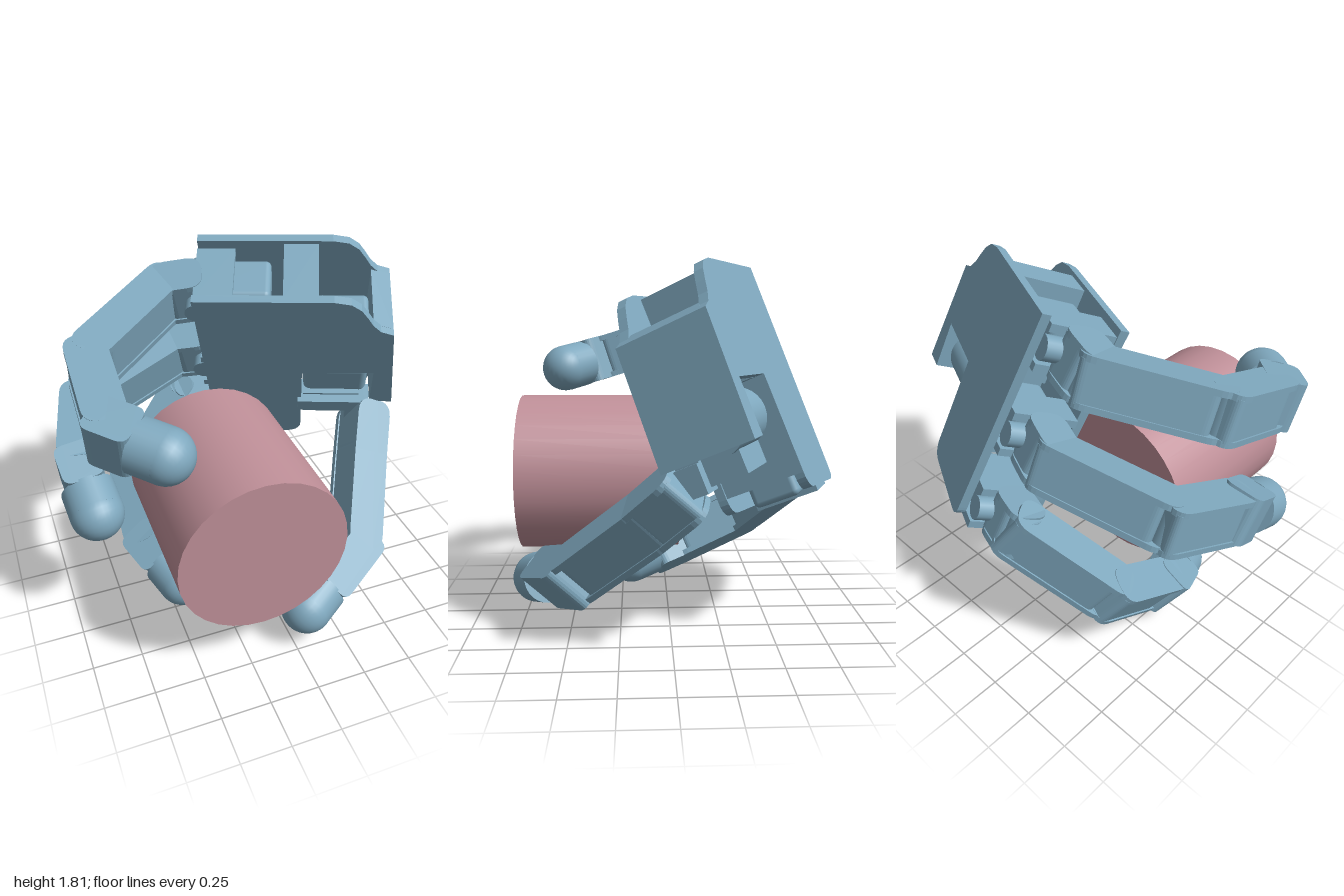
import * as THREE from 'three';
import { RoundedBoxGeometry } from 'three/addons/geometries/RoundedBoxGeometry.js';

const V = (x, y, z) => new THREE.Vector3(x, y, z);
const blue = new THREE.MeshStandardMaterial({ color: 0x7fa8be });
const pink = new THREE.MeshStandardMaterial({ color: 0xc09099 });

function add(parent, name, geometry, material = blue) {
  const mesh = new THREE.Mesh(geometry, material);
  mesh.name = name;
  parent.add(mesh);
  return mesh;
}

// Group whose x axis follows "along" and whose z axis stays close to "axle"
function frame(name, origin, along, axle) {
  const x = along.clone().normalize();
  const y = axle.clone().cross(x).normalize();
  const z = x.clone().cross(y);
  const g = new THREE.Group();
  g.name = name;
  g.quaternion.setFromRotationMatrix(new THREE.Matrix4().makeBasis(x, y, z));
  g.position.copy(origin);
  return g;
}

function extrude(shape, depth, z = -depth / 2) {
  return new THREE.ExtrudeGeometry(shape, { depth, bevelEnabled: false, curveSegments: 6 }).translate(0, 0, z);
}

// Rounded rectangle from x0 to x1, centred on y = 0
function slab(x0, x1, h, r) {
  const s = new THREE.Shape(), k = h / 2;
  s.moveTo(x0 + r, -k).lineTo(x1 - r, -k).quadraticCurveTo(x1, -k, x1, -k + r);
  s.lineTo(x1, k - r).quadraticCurveTo(x1, k, x1 - r, k);
  s.lineTo(x0 + r, k).quadraticCurveTo(x0, k, x0, k - r);
  s.lineTo(x0, -k + r).quadraticCurveTo(x0, -k, x0 + r, -k);
  return s;
}

function box(parent, name, f, u, b, round = 0) {
  const size = [f[1] - f[0], u[1] - u[0], b[1] - b[0]];
  const geo = round ? new RoundedBoxGeometry(...size, 3, round) : new THREE.BoxGeometry(...size);
  geo.translate((f[0] + f[1]) / 2, (u[0] + u[1]) / 2, (b[0] + b[1]) / 2);
  return add(parent, name, geo);
}

// One finger segment: core, two cheek plates and a joint barrel
function link(parent, name, from, to, axle, start = -0.08, over = 0.02) {
  const dir = to.clone().sub(from), L = dir.length();
  const g = frame(name, from, dir, axle);
  add(g, 'core', extrude(slab(start + 0.01, L + over - 0.07, 0.18, 0.04), 0.21));
  for (const side of [-1, 1]) {
    add(g, 'cheek', extrude(slab(start, L + over, 0.195, 0.08), 0.03, side * 0.11 - 0.015));
  }
  add(g, 'jointBarrel', new THREE.CylinderGeometry(0.075, 0.075, 0.22, 20).rotateX(Math.PI / 2)).position.x = L;
  parent.add(g);
}

// Last segment: square housing with a round pad
function tip(parent, from, to, axle) {
  const dir = to.clone().sub(from), L = dir.length();
  const g = frame('fingertip', from, dir, axle);
  add(g, 'housing', extrude(slab(-0.08, Math.max(0.12, L - 0.13), 0.2, 0.05), 0.25));
  const h = 0.14;
  add(g, 'padBarrel', new THREE.CylinderGeometry(0.13, 0.13, h, 28).rotateZ(Math.PI / 2)).position.x = L - h / 2;
  add(g, 'pad', new THREE.SphereGeometry(0.13, 28, 18)).position.x = L;
  parent.add(g);
}

function palmOutline() {
  const s = new THREE.Shape();
  s.moveTo(0.97, 0.235).lineTo(0.3, 0.235);
  s.bezierCurveTo(0.1, 0.235, 0.16, 0.02, 0, 0);
  s.lineTo(-0.05, -0.57).lineTo(0.07, -0.57).lineTo(0.07, -0.31).lineTo(0.44, -0.32);
  s.lineTo(0.44, -0.8).quadraticCurveTo(0.44, -0.88, 0.53, -0.885);
  s.lineTo(0.87, -0.915).quadraticCurveTo(0.92, -0.915, 0.92, -0.86);
  return s;
}

export function createModel() {
  const model = new THREE.Group();

  // Held cylinder
  add(model, 'heldCylinder', new THREE.CylinderGeometry(0.412, 0.412, 0.83, 32).rotateX(Math.PI / 2), pink)
    .position.set(-0.2, 0.73, 0.36);

  // Palm: x runs toward the fingers, y across the hand, z from palm to back
  const F = V(-0.912, -0.02, -0.408), B = V(0.363, 0.408, -0.838);
  const palm = frame('palm', V(0.675, 1.435, 0.25), F, B);
  model.add(palm);
  palm.updateMatrixWorld(true);
  const at = (f, u, b) => V(f, u, b).applyMatrix4(palm.matrixWorld);

  add(palm, 'frontPlate', extrude(palmOutline(), 0.045, 0));
  add(palm, 'backPlate', extrude(palmOutline(), 0.045, 0.395));
  const heel = new THREE.Shape();
  heel.moveTo(0.1, 0.04).lineTo(0, 0).lineTo(-0.05, -0.57).lineTo(0.07, -0.57).lineTo(0.07, -0.31).lineTo(0.1, -0.31);
  add(palm, 'heelBlock', extrude(heel, 0.36, 0.04));
  box(palm, 'crossWall', [0.37, 0.54], [-0.32, 0.215], [0.04, 0.4]);
  box(palm, 'notchWall', [0.45, 0.51], [-0.8, -0.31], [0.04, 0.4]);
  box(palm, 'innerMotor', [0.1, 0.37], [-0.33, -0.1], [0.1, 0.36], 0.03);

  // Knuckle drives between the plates
  const rows = [0.08, -0.38, -0.82];
  for (const u of rows) {
    box(palm, 'knuckleMotor', [0.6, 0.93], [u - 0.09, u + 0.09], [0.1, 0.34], 0.03);
    for (const side of [-1, 1]) {
      box(palm, 'motorBracket', [0.78, 0.97], [u + side * 0.1 - 0.02, u + side * 0.1 + 0.02], [0.05, 0.38]);
    }
    const pivot = add(palm, 'knucklePivot', new THREE.CylinderGeometry(0.06, 0.06, 0.32, 18).rotateX(Math.PI / 2));
    pivot.position.set(0.96, u, 0.22);
  }

  // Fingers: knuckle, middle joint, end joint, tip centre
  const fingers = [
    { name: 'upperFinger', axle: V(-0.05, 0.946, 0.316),
      p: [V(-0.305, 1.555, -0.35), V(-0.77, 1.425, -0.005), V(-0.775, 1.3, 0.39), V(-0.575, 1.26, 0.575)] },
    { name: 'middleFinger', axle: V(-0.096, 0.935, 0.339),
      p: [V(-0.22, 1.135, -0.53), V(-0.78, 1.005, -0.335), V(-0.875, 0.895, 0.03), V(-0.85, 0.78, 0.26)] },
    { name: 'lowerFinger', axle: V(-0.51, 0.78, 0.36),
      p: [V(-0.13, 0.745, -0.67), V(-0.52, 0.4, -0.42), V(-0.54, 0.22, -0.06), V(-0.44, 0.14, 0.2)] },
  ];
  const U = B.clone().cross(F);
  fingers.forEach(({ name, axle, p }, i) => {
    const g = new THREE.Group();
    g.name = name;
    model.add(g);
    link(g, 'knuckle', at(0.96, rows[i], 0.22), p[0], U, -0.03, 0.05);
    link(g, 'proximalLink', p[0], p[1], axle);
    link(g, 'middleLink', p[1], p[2], axle);
    tip(g, p[2], p[3], axle);
  });

  // Thumb drive in the notch of the palm
  const roller = add(palm, 'thumbRoller', new THREE.CylinderGeometry(0.14, 0.14, 0.35, 28).rotateZ(Math.PI / 2));
  roller.position.set(0.255, -0.46, 0.25);
  box(palm, 'thumbMotor', [0.09, 0.43], [-0.56, -0.35], [0.05, 0.3], 0.04);
  box(palm, 'thumbGearbox', [0.13, 0.43], [-0.7, -0.53], [0.02, 0.3]);
  box(palm, 'thumbBracket', [0.07, 0.2], [-0.72, -0.58], [-0.03, 0.12]);
  box(palm, 'thumbBracketPlate', [0.1, 0.46], [-0.62, -0.54], [-0.03, 0.12]);

  // Thumb
  const thumb = new THREE.Group();
  thumb.name = 'thumb';
  model.add(thumb);
  const axle = V(-0.15, -0.7, -0.7);
  const t = [V(0.7, 0.79, -0.01), V(0.62, 0.65, 0.13), V(0.43, 0.34, 0.48), V(0.07, 0.22, 0.68)];
  link(thumb, 'thumbKnuckle', t[0], t[1], axle, -0.08, 0.06);
  link(thumb, 'thumbLink', t[1], t[2], axle);
  tip(thumb, t[2], t[3], axle);

  return model;
}
